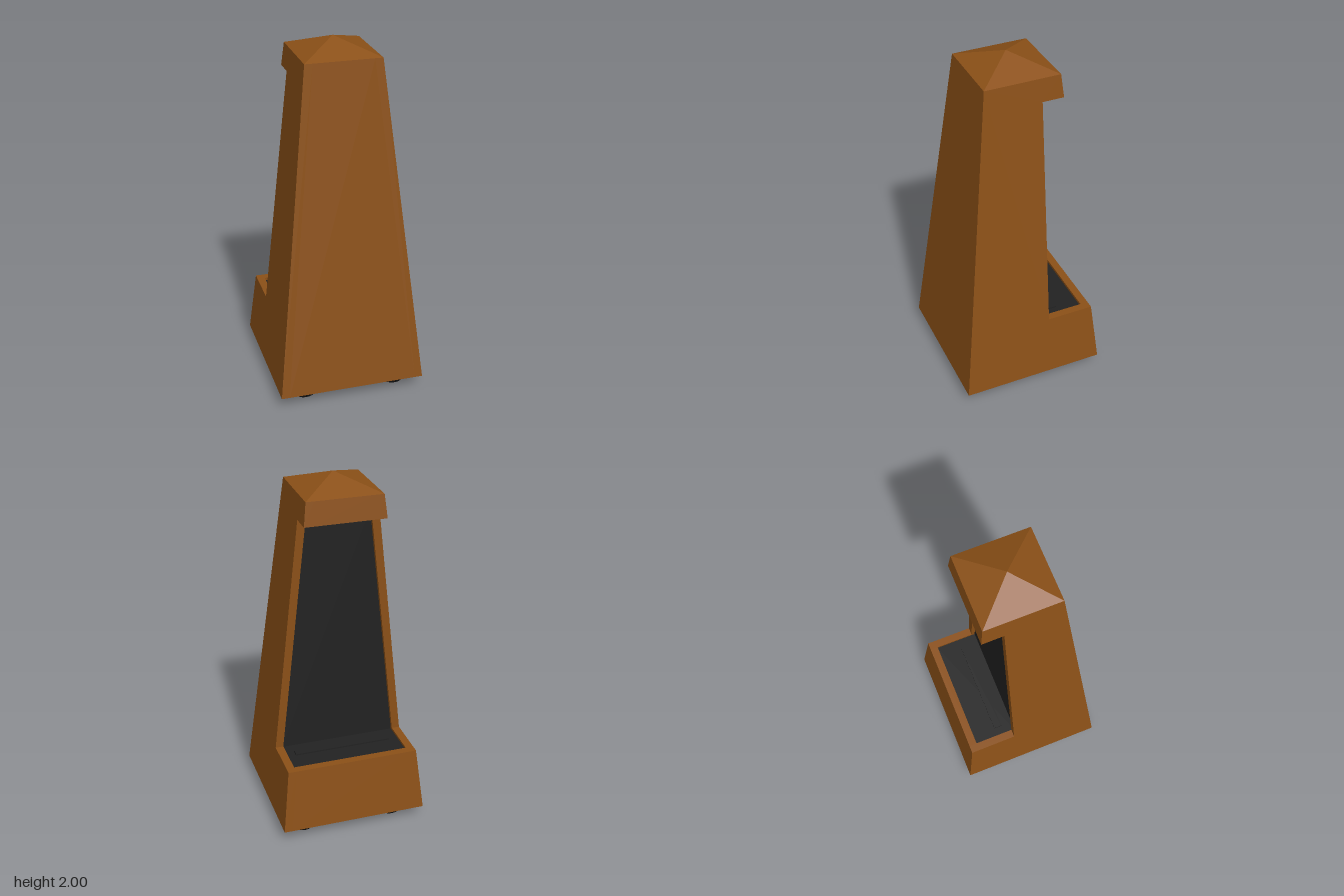
import * as THREE from 'three';

const Y0 = 0.065, Y1 = 1.92;               // underside and eaves of the case
const STEP = 0.43, LIP = 1.79;             // lower and upper edges of the back opening
const FACE = -0.105, PANEL = -0.08;        // back rim face and recessed panel
const FLOOR = 0.41, CEIL = 1.81, RIM = 0.045;

// Half width of the tapering case at height y
const half = (y) => THREE.MathUtils.mapLinear(y, Y0, Y1, 0.415, 0.212);

// Extrude a [z, y] side profile across x, between two limits that depend on height
function taperedSlab(points, from, to) {
  const shape = new THREE.Shape(points.map(([z, y]) => new THREE.Vector2(-z, y)));
  const geo = new THREE.ExtrudeGeometry(shape, { depth: 1, bevelEnabled: false });
  geo.rotateY(Math.PI / 2);
  const pos = geo.attributes.position;
  for (let i = 0; i < pos.count; i++) {
    const y = pos.getY(i);
    pos.setX(i, THREE.MathUtils.lerp(from(y), to(y), pos.getX(i)));
  }
  geo.computeVertexNormals();
  return geo;
}

export function createModel() {
  const group = new THREE.Group();
  const wood = new THREE.MeshStandardMaterial({ color: 0x8b5017 });
  const lining = new THREE.MeshStandardMaterial({ color: 0x222222 });
  const rubber = new THREE.MeshStandardMaterial({ color: 0x0e0e0e });
  const add = (name, geo, mat, x = 0, y = 0, z = 0) => {
    const mesh = new THREE.Mesh(geo, mat);
    mesh.name = name;
    mesh.position.set(x, y, z);
    group.add(mesh);
    return mesh;
  };
  const inner = (y) => half(y) - RIM;

  // Side walls: the full C-shaped outline
  const outline = [
    [half(Y0), Y0], [half(Y1), Y1], [-half(Y1), Y1], [-half(LIP), LIP],
    [FACE, LIP], [FACE, STEP], [-half(STEP), STEP], [-half(Y0), Y0],
  ];
  add('rightWall', taperedSlab(outline, (y) => -half(y), (y) => -inner(y)), wood);
  add('leftWall', taperedSlab(outline, inner, half), wood);

  // Middle of the case, with the opening sunk below the rim
  const zFloor = -inner(STEP), zCeil = -inner(LIP);
  const core = [
    [half(Y0), Y0], [half(Y1), Y1], [-half(Y1), Y1], [-half(LIP), LIP],
    [zCeil, LIP], [zCeil, CEIL], [PANEL, CEIL], [PANEL, FLOOR],
    [zFloor, FLOOR], [zFloor, STEP], [-half(STEP), STEP], [-half(Y0), Y0],
  ];
  add('caseCore', taperedSlab(core, (y) => -inner(y), inner), wood);

  // Dark lining over the floor, back panel and ceiling of the opening
  const t = 0.004;
  const liner = [
    [zCeil, CEIL], [PANEL, CEIL], [PANEL, FLOOR], [zFloor, FLOOR],
    [zFloor, FLOOR + t], [PANEL - t, FLOOR + t], [PANEL - t, CEIL - t], [zCeil, CEIL - t],
  ];
  add('recessLining', taperedSlab(liner, (y) => -inner(y), inner), lining);
  add('floorBar', new THREE.BoxGeometry(0.56, 0.01, 0.045), lining, 0, FLOOR + t + 0.003, -0.173);

  // Pyramid roof
  const roof = new THREE.ConeGeometry(half(Y1) * Math.SQRT2, 2 - Y1, 4, 1, true).rotateY(Math.PI / 4).toNonIndexed();
  roof.computeVertexNormals();
  add('roof', roof, wood, 0, (2 + Y1) / 2, 0);

  // Feet
  const foot = new THREE.CylinderGeometry(0.065, 0.065, Y0, 32);
  for (const x of [-0.255, 0.275])
    for (const z of [-0.277, 0.277]) add('foot', foot, rubber, x, Y0 / 2, z);

  return group;
}
